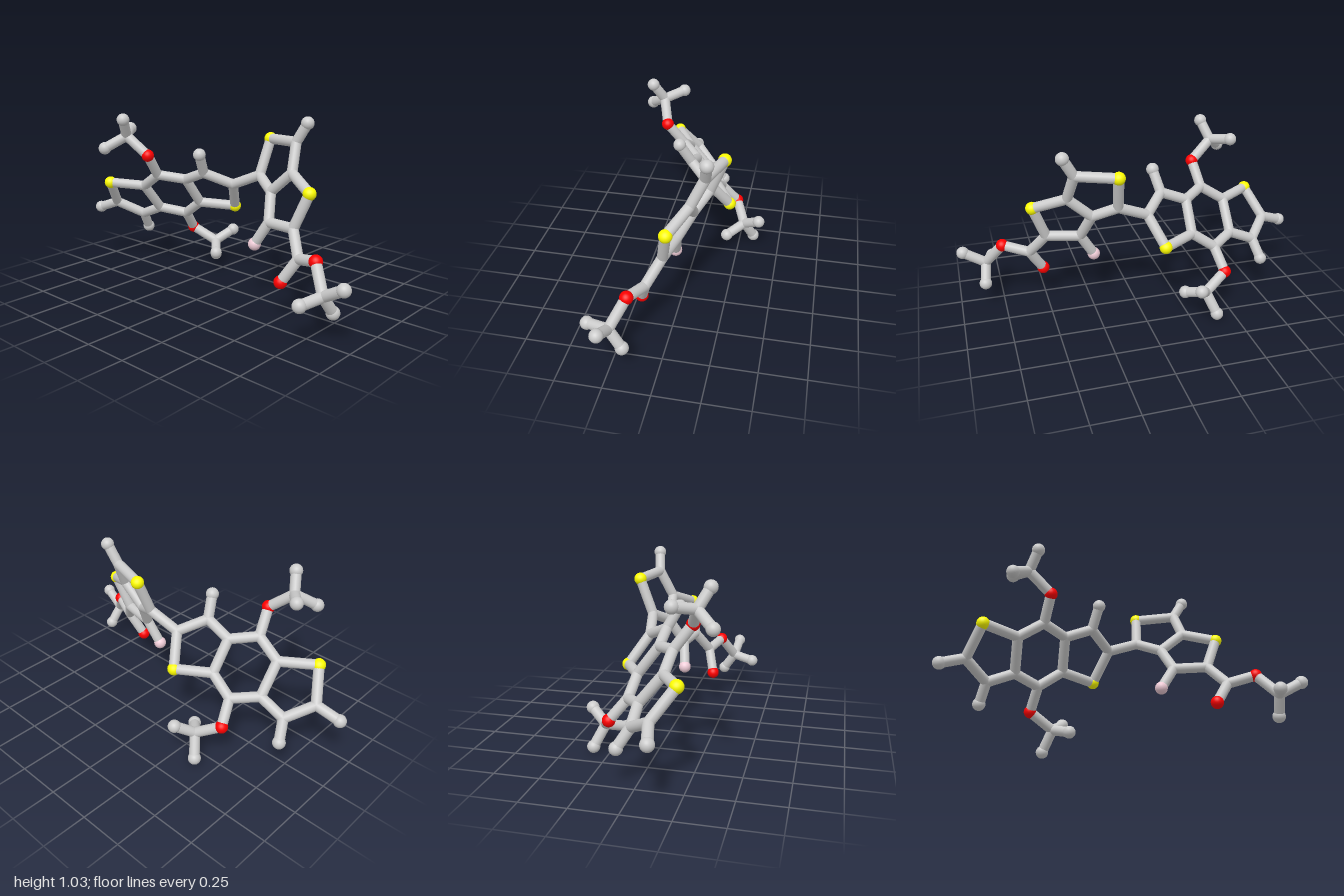
import * as THREE from 'three';

const BALL = 0.036, ROD = 0.029;
const COLORS = { grey: 0xcccccc, sulfur: 0xffff00, oxygen: 0xff0000, fluorine: 0xf0cdd8 };

// Atoms: [x, y, z, kind]; no kind means a bare joint where rods meet.
const atoms = {
  // three fused rings
  s1: [-0.76, 0.557, 0.215, 'sulfur'], a2: [-0.84, 0.4, 0.1], a3: [-0.725, 0.32, -0.02],
  b1: [-0.575, 0.385, -0.025], b2: [-0.573, 0.546, 0.105], b3: [-0.435, 0.635, 0.12],
  b4: [-0.307, 0.61, 0.015], b5: [-0.307, 0.448, -0.105], b6: [-0.44, 0.355, -0.12],
  s2: [-0.117, 0.438, -0.212, 'sulfur'], c2: [-0.04, 0.6, -0.105], c3: [-0.156, 0.67, 0.02],
  hA2: [-0.97, 0.35, 0.13, 'grey'], hA3: [-0.757, 0.215, -0.087, 'grey'], hC3: [-0.126, 0.789, 0.085, 'grey'],
  // upper side chain
  o1: [-0.41, 0.767, 0.217, 'oxygen'], m1: [-0.537, 0.873, 0.262],
  m1a: [-0.495, 0.976, 0.32, 'grey'], m1b: [-0.623, 0.898, 0.157, 'grey'], m1c: [-0.623, 0.803, 0.356, 'grey'],
  // lower side chain
  o2: [-0.473, 0.236, -0.217, 'oxygen'], m2: [-0.338, 0.156, -0.279],
  m2a: [-0.388, 0.039, -0.336, 'grey'], m2b: [-0.275, 0.222, -0.374, 'grey'], m2c: [-0.249, 0.117, -0.184, 'grey'],
  // two fused rings
  d1: [0.133, 0.675, -0.135], s3: [0.147, 0.875, -0.213, 'sulfur'], d3: [0.37, 0.887, -0.15],
  d4: [0.4, 0.733, -0.077], d5: [0.265, 0.612, -0.07], hD3: [0.43, 0.993, -0.166, 'grey'],
  s4: [0.577, 0.664, 0.01, 'sulfur'], e2: [0.505, 0.473, 0.045], e3: [0.318, 0.464, 0.012],
  f1: [0.238, 0.33, 0.034, 'fluorine'],
  // end chain
  g1: [0.596, 0.347, 0.12], o3: [0.516, 0.214, 0.16, 'oxygen'], o4: [0.741, 0.382, 0.176, 'oxygen'],
  m3: [0.838, 0.248, 0.25], m3a: [0.963, 0.318, 0.267, 'grey'],
  m3b: [0.792, 0.227, 0.376, 'grey'], m3c: [0.853, 0.147, 0.18, 'grey'],
};

// Each part is a list of chains; every step along a chain is one rod.
const parts = {
  tripleRing: ['s1 a2 a3 b1 b2 s1', 'b2 b3 b4 b5 b6 b1', 'b5 s2 c2 c3 b4', 'a2 hA2', 'a3 hA3', 'c3 hC3'],
  upperSideChain: ['b3 o1 m1 m1a', 'm1b m1 m1c'],
  lowerSideChain: ['b6 o2 m2 m2a', 'm2b m2 m2c'],
  linkRod: ['c2 d1'],
  doubleRing: ['d1 s3 d3 d4 d5 d1', 'd4 s4 e2 e3 d5', 'd3 hD3', 'e3 f1'],
  endChain: ['e2 g1 o4 m3 m3a', 'g1 o3', 'm3b m3 m3c'],
};

export function createModel() {
  const model = new THREE.Group();
  model.name = 'ballAndStickMolecule';
  const materials = {};
  for (const [k, color] of Object.entries(COLORS)) materials[k] = new THREE.MeshStandardMaterial({ color });
  const ballGeo = new THREE.SphereGeometry(BALL, 24, 16);
  const jointGeo = new THREE.SphereGeometry(ROD, 20, 14);
  const rodGeo = new THREE.CylinderGeometry(ROD, ROD, 1, 20, 1, true);
  const up = new THREE.Vector3(0, 1, 0);
  const point = (id) => new THREE.Vector3(...atoms[id].slice(0, 3));
  const placed = new Set();

  for (const [name, chains] of Object.entries(parts)) {
    const group = new THREE.Group();
    group.name = name;
    model.add(group);

    // ball or joint, once per atom
    const addAtom = (id) => {
      if (placed.has(id)) return;
      placed.add(id);
      const kind = atoms[id][3];
      const mesh = new THREE.Mesh(kind ? ballGeo : jointGeo, materials[kind || 'grey']);
      mesh.name = kind ? `${kind}Ball` : 'joint';
      mesh.position.copy(point(id));
      group.add(mesh);
    };

    // rod stretched between two atoms
    const addRod = (from, to) => {
      const a = point(from), b = point(to);
      const dir = b.clone().sub(a);
      const mesh = new THREE.Mesh(rodGeo, materials.grey);
      mesh.name = 'rod';
      mesh.position.copy(a).add(b).multiplyScalar(0.5);
      mesh.scale.y = dir.length();
      mesh.quaternion.setFromUnitVectors(up, dir.normalize());
      group.add(mesh);
    };

    for (const chain of chains) {
      const ids = chain.split(' ');
      ids.forEach((id, i) => {
        addAtom(id);
        if (i) addRod(ids[i - 1], id);
      });
    }
  }
  return model;
}
